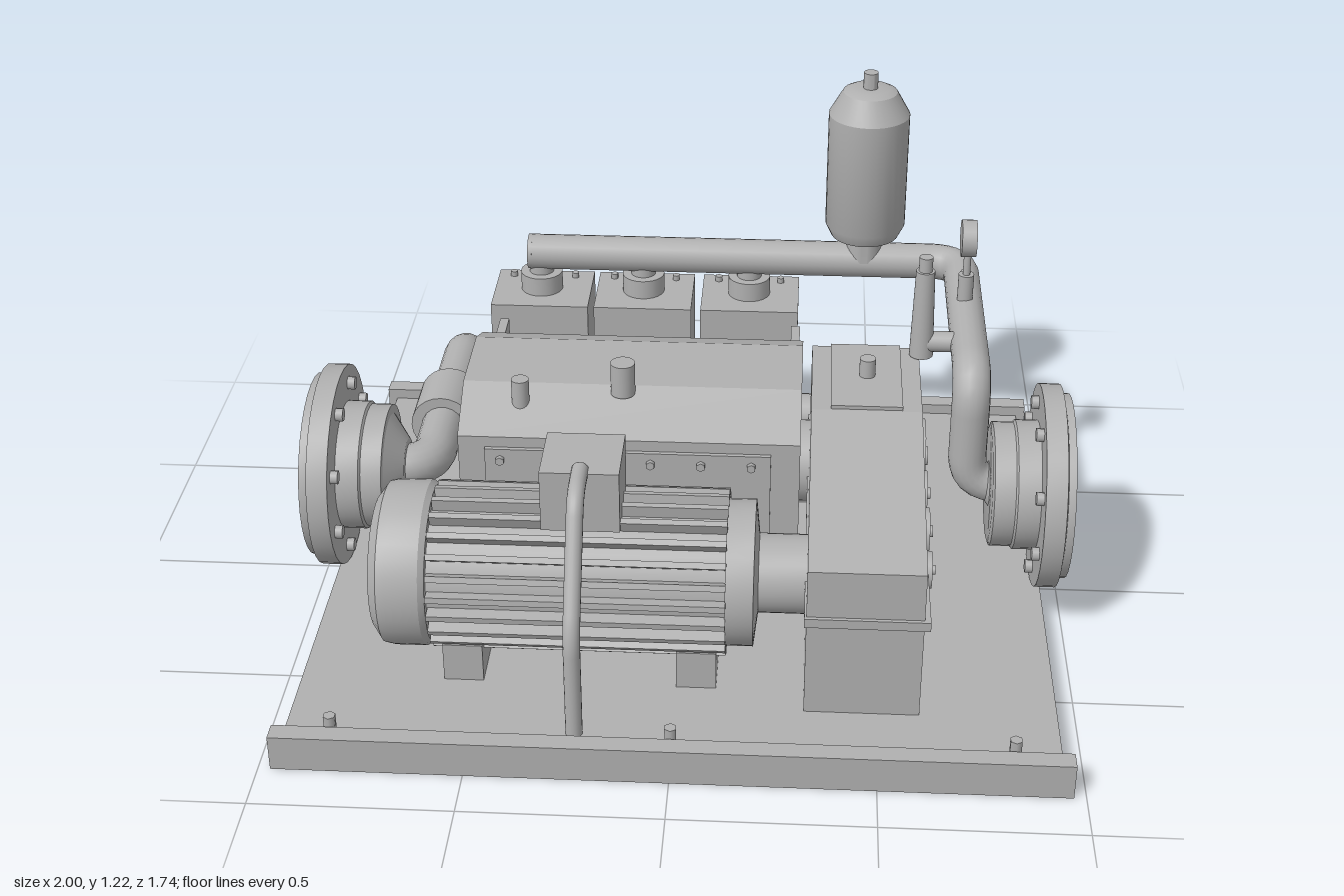
import * as THREE from 'three';
import { toCreasedNormals } from 'three/addons/utils/BufferGeometryUtils.js';

const V = (x, y, z) => new THREE.Vector3(x, y, z);

export function createModel() {
  const root = new THREE.Group();
  const grey = new THREE.MeshStandardMaterial({ color: 0xb0b0b0 });
  grey.name = 'machine grey';

  function add(name, geometry, parent = root) {
    const mesh = new THREE.Mesh(geometry, grey);
    mesh.name = name;
    parent.add(mesh);
    return mesh;
  }
  function group(name) {
    const g = new THREE.Group();
    g.name = name;
    root.add(g);
    return g;
  }
  // Box given by its limits
  function box(name, x0, x1, y0, y1, z0, z1, parent) {
    const m = add(name, new THREE.BoxGeometry(x1 - x0, y1 - y0, z1 - z0), parent);
    m.position.set((x0 + x1) / 2, (y0 + y1) / 2, (z0 + z1) / 2);
    return m;
  }
  // Cylinder from a to b
  function rod(name, a, b, r, parent, r2 = r, sides = 24) {
    const d = b.clone().sub(a);
    const m = add(name, new THREE.CylinderGeometry(r2, r, d.length(), sides), parent);
    m.position.copy(a).addScaledVector(d, 0.5);
    m.quaternion.setFromUnitVectors(V(0, 1, 0), d.normalize());
    return m;
  }
  // Turned part, profile as [radius, height] pairs from the bottom up
  function lathe(name, points, parent) {
    const g = new THREE.LatheGeometry(points.map(p => new THREE.Vector2(...p)), 32);
    return add(name, toCreasedNormals(g, 0.5), parent);
  }
  // Side profile as [z, y] pairs, extruded from x0 to x1
  function profile(name, points, x0, x1, parent) {
    const shape = new THREE.Shape(points.map(([z, y]) => new THREE.Vector2(-z, y)));
    const g = new THREE.ExtrudeGeometry(shape, { depth: x1 - x0, bevelEnabled: false });
    g.rotateY(Math.PI / 2);
    g.translate(x0, 0, 0);
    return add(name, g, parent);
  }
  // Pipe with rounded corners and closed ends
  function pipe(name, pts, r, bend) {
    const path = new THREE.CurvePath();
    let last = pts[0];
    for (let i = 1; i < pts.length - 1; i++) {
      const p = pts[i];
      const a = p.clone().add(pts[i - 1].clone().sub(p).setLength(bend));
      const b = p.clone().add(pts[i + 1].clone().sub(p).setLength(bend));
      path.add(new THREE.LineCurve3(last, a));
      path.add(new THREE.QuadraticBezierCurve3(a, p, b));
      last = b;
    }
    const end = pts[pts.length - 1];
    path.add(new THREE.LineCurve3(last, end));
    const g = group(name);
    add('pipe run', new THREE.TubeGeometry(path, 110, r, 18), g);
    rod('start cap', pts[0], pts[0].clone().lerp(pts[1], 0.01), r, g);
    rod('end cap', end.clone().lerp(pts[pts.length - 2], 0.01), end, r, g);
  }

  // Skid
  const skid = group('skid');
  box('deck', -0.945, 0.945, 0, 0.065, -0.82, 0.82, skid);
  for (const s of [-1, 1]) {
    box('endRail', -0.97, 0.97, 0, 0.095, s * 0.845 - 0.025, s * 0.845 + 0.025, skid);
    for (const x of [-0.83, 0, 0.83])
      rod('anchorBolt', V(x, 0.06, s * 0.8), V(x, 0.115, s * 0.8), 0.016, skid, 0.016, 6);
  }

  // Crankcase with covers and caps
  const crank = group('crankcase');
  profile('housing', [[0.16, 0.06], [0.16, 0.53], [0.02, 0.615], [-0.22, 0.615], [-0.33, 0.57], [-0.33, 0.06]], -0.59, 0.295, crank);
  box('frontCover', -0.52, 0.22, 0.16, 0.5, 0.16, 0.172, crank);
  for (let i = 0; i < 6; i++)
    rod('coverBolt', V(-0.48 + i * 0.13, 0.47, 0.17), V(-0.48 + i * 0.13, 0.47, 0.185), 0.012, crank, 0.012, 6);
  rod('bearingCaps', V(-0.615, 0.335, -0.09), V(0.32, 0.335, -0.09), 0.11, crank);
  rod('breather', V(-0.17, 0.6, 0.035), V(-0.17, 0.69, 0.035), 0.032, crank);
  rod('fillerCap', V(-0.435, 0.57, 0.065), V(-0.435, 0.65, 0.065), 0.023, crank);

  // Open cradle around the plungers
  const cradle = group('cradle');
  box('cradleFloor', -0.57, 0.285, 0.06, 0.12, -0.54, -0.33, cradle);
  for (const x of [-0.57, 0.26])
    box('cradleWall', x, x + 0.025, 0.06, 0.505, -0.535, -0.33, cradle);
  for (const x of [-0.55, 0.24]) box('cradleFoot', x, x + 0.08, 0.06, 0.105, -0.37, -0.3, cradle);

  // Fluid end: three matching cylinders
  const fluid = group('fluidEnd');
  for (const x of [-0.465, -0.17, 0.135]) {
    rod('plunger', V(x, 0.34, -0.57), V(x, 0.34, -0.33), 0.04, fluid);
    rod('stuffingBox', V(x, 0.34, -0.4), V(x, 0.34, -0.32), 0.063, fluid);
    rod('gland', V(x, 0.34, -0.57), V(x, 0.34, -0.5), 0.057, fluid);
    box('valveBlock', x - 0.135, x + 0.143, 0.205, 0.535, -0.785, -0.56, fluid);
    rod('valveCap', V(x, 0.53, -0.68), V(x, 0.59, -0.68), 0.06, fluid);
    rod('outletRiser', V(x, 0.58, -0.68), V(x, 0.65, -0.68), 0.035, fluid);
    rod('rearCover', V(x, 0.34, -0.83), V(x, 0.34, -0.78), 0.062, fluid);
    rod('rearBoss', V(x, 0.34, -0.845), V(x, 0.34, -0.82), 0.02, fluid);
    for (let i = 0; i < 6; i++) {
      const a = i * Math.PI / 3, bx = x + 0.046 * Math.cos(a), by = 0.34 + 0.046 * Math.sin(a);
      rod('coverBolt', V(bx, by, -0.845), V(bx, by, -0.82), 0.009, fluid, 0.009, 6);
    }
    for (const sx of [-1, 1]) {
      for (const sy of [-1, 1])
        rod('blockBolt', V(x + sx * 0.11, 0.37 + sy * 0.13, -0.797), V(x + sx * 0.11, 0.37 + sy * 0.13, -0.78), 0.011, fluid, 0.011, 6);
      rod('topBolt', V(x + sx * 0.09, 0.53, -0.75), V(x + sx * 0.09, 0.55, -0.75), 0.011, fluid, 0.011, 6);
    }
    rod('inletStub', V(x, 0.12, -0.69), V(x, 0.21, -0.69), 0.045, fluid);
    for (const s of [-0.1, 0.1]) rod('manifoldBand', V(x + s - 0.01, 0.13, -0.69), V(x + s + 0.01, 0.13, -0.69), 0.062, fluid);
  }
  box('controlBox', 0.36, 0.48, 0.06, 0.225, -0.8, -0.715);

  // Reduction gear case
  const gear = group('gearCase');
  profile('gearHousing', [[0.655, 0.06], [0.655, 0.48], [0.1, 0.605], [-0.24, 0.605], [-0.3, 0.535], [-0.3, 0.06]], 0.32, 0.605, gear);
  box('splitFlange', 0.315, 0.62, 0.325, 0.35, -0.31, 0.665, gear);
  box('inspectionLid', 0.37, 0.555, 0.6, 0.615, -0.235, 0.095, gear);
  rod('lidKnob', V(0.465, 0.61, -0.07), V(0.465, 0.665, -0.07), 0.021, gear);
  for (const [z, r] of [[0.415, 0.047], [0.24, 0.06], [0.06, 0.06], [-0.13, 0.1]]) {
    rod('bearingCover', V(0.6, 0.335, z), V(0.63, 0.335, z), r, gear);
    rod('coverCentre', V(0.63, 0.335, z), V(0.64, 0.335, z), r * 0.25, gear);
  }

  // Electric motor with cooling ribs
  const motor = group('motor');
  const my = 0.31, mz = 0.415;
  const turned = lathe('motorBody', [[0, -0.76], [0.17, -0.76], [0.205, -0.735], [0.21, -0.71], [0.21, -0.63],
    [0.2, -0.615], [0.178, -0.615], [0.178, 0.12], [0.185, 0.12], [0.185, 0.19], [0.1, 0.2], [0.1, 0.33], [0, 0.33]], motor);
  turned.rotation.z = -Math.PI / 2;
  turned.position.set(0, my, mz);
  for (let i = 0; i < 24; i++) {
    const a = (i + 0.5) * Math.PI / 12;
    const rib = add('coolingRib', new THREE.BoxGeometry(0.735, 0.045, 0.016), motor);
    rib.position.set(-0.245, my + 0.188 * Math.cos(a), mz + 0.188 * Math.sin(a));
    rib.rotation.x = a;
  }
  for (const x of [-0.585, 0])
    box('motorFoot', x, x + 0.1, 0.06, 0.17, mz - 0.16, mz + 0.16, motor);
  box('terminalBox', -0.335, -0.14, 0.48, 0.645, 0.32, 0.51, motor);
  pipe('powerConduit', [V(-0.237, 0.64, 0.48), V(-0.237, 0.64, 0.6), V(-0.237, 0.35, 0.77), V(-0.237, 0.06, 0.77)], 0.021, 0.05);

  // Inlet and outlet flanges, facing outwards
  for (const s of [-1, 1]) {
    const f = group(s > 0 ? 'outletFlange' : 'inletFlange');
    lathe('flangeBody', [[0, 0.755], ...(s > 0 ? [[0.06, 0.795], [0.15, 0.795]] : [[0.075, 0.755], [0.14, 0.8]]),
      [0.165, 0.8], [0.165, 0.855], [0.172, 0.86], [0.172, 0.92], [0.27, 0.92], [0.27, 0.975], [0.245, 0.98], [0.245, 1],
      [0.138, 1], [0.138, 0.87], [0, 0.87]], f);
    for (let i = 0; i < 8; i++) {
      const a = (i + 0.5) * Math.PI / 4;
      const y = 0.22 * Math.cos(a), z = 0.22 * Math.sin(a);
      rod('flangeBolt', V(y, 0.9, z), V(y, 0.93, z), 0.018, f, 0.018, 8);
    }
    f.rotation.z = -s * Math.PI / 2;
    f.position.y = 0.335;
  }

  // Suction line with strainer and manifold
  pipe('suctionPipe', [V(-0.8, 0.335, 0), V(-0.695, 0.335, 0), V(-0.695, 0.335, -0.695),
    V(-0.695, 0.13, -0.695), V(0.36, 0.13, -0.69)], 0.058, 0.095);
  const strainer = group('strainer');
  rod('strainerBody', V(-0.697, 0.335, -0.385), V(-0.697, 0.335, -0.215), 0.086, strainer);
  rod('strainerLeg', V(-0.697, 0.32, -0.32), V(-0.697, 0.14, -0.53), 0.055, strainer);

  // Discharge line
  pipe('dischargePipe', [V(-0.5, 0.65, -0.68), V(0.735, 0.65, -0.68), V(0.735, 0.65, 0),
    V(0.735, 0.335, 0), V(0.83, 0.335, 0)], 0.05, 0.09);

  // Pulsation damper
  lathe('pulsationDamper', [[0, 0.66], [0.05, 0.66], [0.05, 0.735], [0.095, 0.735], [0.112, 0.77], [0.112, 1.1],
    [0.075, 1.165], [0.055, 1.175], [0.02, 1.175], [0.02, 1.22], [0, 1.22]]).position.set(0.46, 0, -0.68);

  // Relief valve beside the discharge line
  const relief = group('reliefValve');
  rod('sideStub', V(0.6, 0.65, -0.2), V(0.735, 0.65, -0.2), 0.028, relief);
  rod('valveBody', V(0.61, 0.61, -0.2), V(0.61, 0.86, -0.2), 0.032, relief, 0.025);
  rod('valveTop', V(0.61, 0.86, -0.2), V(0.61, 0.9, -0.2), 0.018, relief);

  // Pressure gauge
  const gauge = group('pressureGauge');
  rod('gaugeFitting', V(0.73, 0.68, -0.365), V(0.73, 0.77, -0.365), 0.021, gauge);
  rod('gaugeStem', V(0.73, 0.76, -0.365), V(0.73, 0.84, -0.365), 0.01, gauge);
  rod('gaugeDial', V(0.71, 0.877, -0.365), V(0.75, 0.877, -0.365), 0.05, gauge);
  rod('shutoffHandle', V(0.73, 0.75, -0.365), V(0.73, 0.75, -0.41), 0.014, gauge);

  return root;
}
